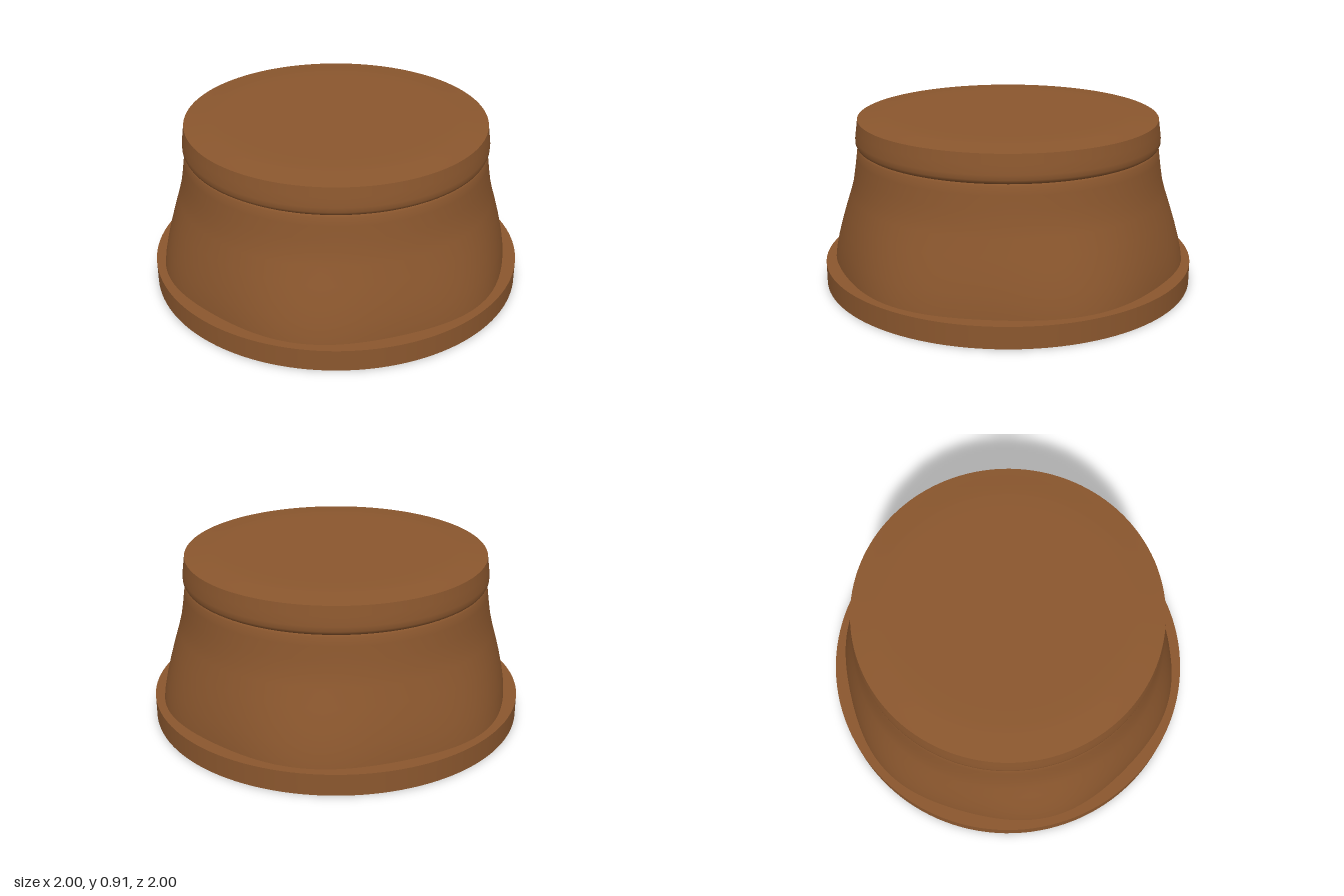
import * as THREE from 'three';

const SEGMENTS = 128;

// Revolve a short [radius, height] profile, listed from bottom to top
function revolve(points, material, name) {
  const profile = points.map(([r, y]) => new THREE.Vector2(r, y));
  const mesh = new THREE.Mesh(new THREE.LatheGeometry(profile, SEGMENTS), material);
  mesh.name = name;
  return mesh;
}

export function createModel() {
  const group = new THREE.Group();
  group.name = 'roundPlinth';
  const brown = new THREE.MeshStandardMaterial({ color: 0x8b572e });
  brown.name = 'warm brown';

  // Flat disc foot
  const foot = new THREE.Mesh(new THREE.CylinderGeometry(1, 1, 0.115, SEGMENTS), brown);
  foot.name = 'footDisc';
  foot.position.y = 0.0575;
  group.add(foot);

  // Flared body, with a faintly six-sided lower hem
  const body = revolve([
    [0.944, 0.11], [0.938, 0.16], [0.924, 0.23], [0.904, 0.31], [0.878, 0.4],
    [0.85, 0.49], [0.834, 0.55], [0.822, 0.62], [0.812, 0.69], [0.806, 0.735], [0.795, 0.745],
  ], brown, 'flaredBody');
  const pos = body.geometry.attributes.position;
  for (let i = 0; i < pos.count; i++) {
    const x = pos.getX(i), z = pos.getZ(i);
    const fade = Math.max(0, 1 - (pos.getY(i) - 0.11) / 0.45);
    const k = 1 + 0.014 * fade * Math.cos(6 * (Math.atan2(z, x) + 0.21));
    pos.setX(i, x * k);
    pos.setZ(i, z * k);
  }
  // Average the normals across the seam, where first and last columns meet
  body.geometry.computeVertexNormals();
  const normals = body.geometry.attributes.normal;
  const rows = pos.count / (SEGMENTS + 1);
  for (let j = 0; j < rows; j++) {
    const last = SEGMENTS * rows + j;
    const n = new THREE.Vector3().fromBufferAttribute(normals, j)
      .add(new THREE.Vector3().fromBufferAttribute(normals, last)).normalize();
    normals.setXYZ(j, n.x, n.y, n.z);
    normals.setXYZ(last, n.x, n.y, n.z);
  }
  group.add(body);

  // Rounded band above the groove
  group.add(revolve([
    [0.795, 0.742], [0.807, 0.75], [0.814, 0.765], [0.815, 0.79], [0.808, 0.84], [0.801, 0.89],
  ], brown, 'topBand'));

  // Shallow domed lid
  group.add(revolve([
    [0.801, 0.89], [0.74, 0.895], [0.68, 0.902], [0.62, 0.906], [0.5, 0.906], [0, 0.905],
  ], brown, 'topLid'));

  return group;
}
